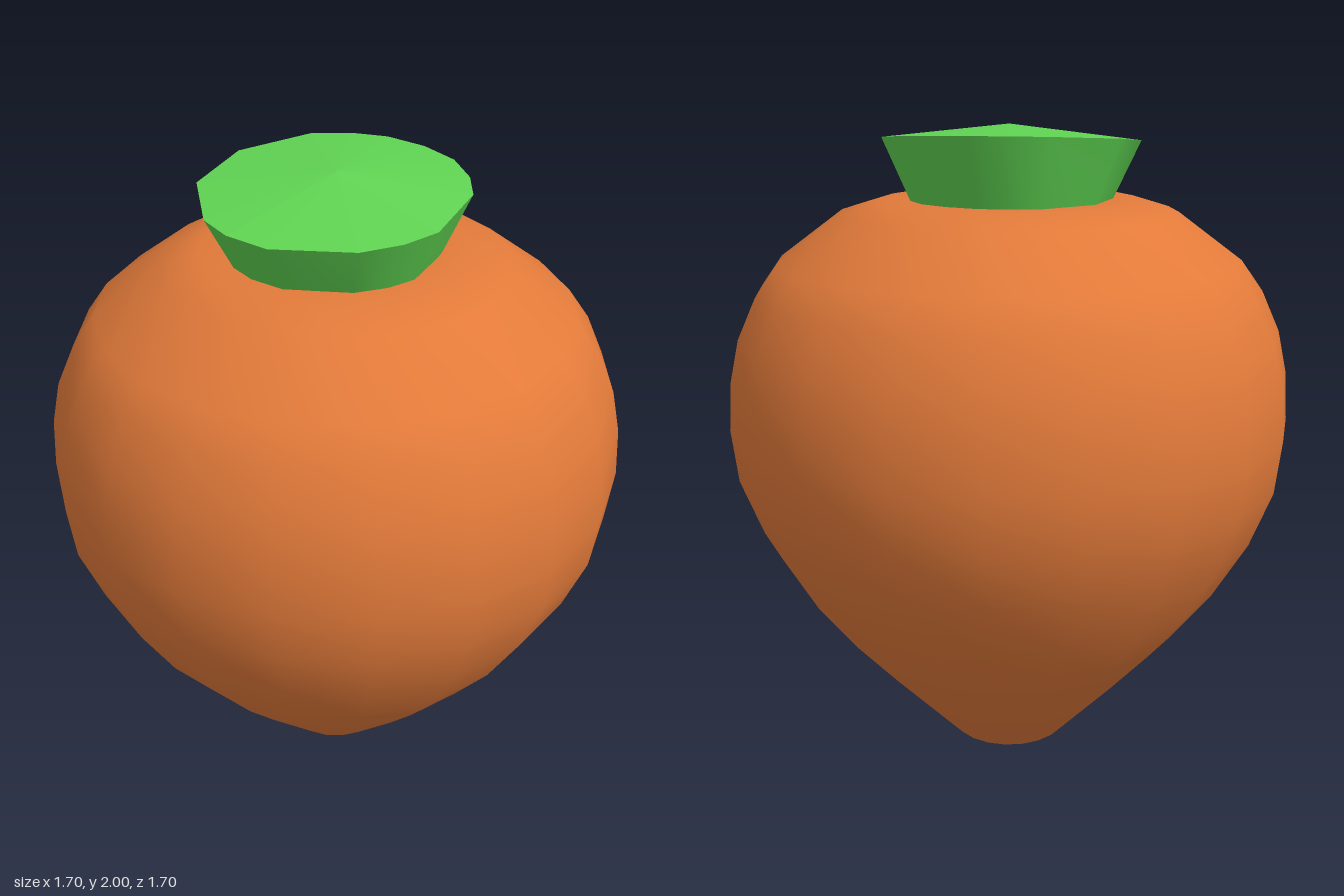
import * as THREE from 'three';

export function createModel() {
  const group = new THREE.Group();
  const rootOrange = new THREE.MeshStandardMaterial({ color: 0xe27a3a });
  const stemGreen = new THREE.MeshStandardMaterial({ color: 0x5fd352 });
  const add = (name, geometry, material) => {
    const mesh = new THREE.Mesh(geometry, material);
    mesh.name = name;
    group.add(mesh);
  };

  // Bulbous root, turned from a profile running from the tip to the crown
  const profile = [
    [0, 0.005], [0.18, 0.075], [0.41, 0.32], [0.54, 0.465], [0.66, 0.62], [0.765, 0.8],
    [0.83, 0.97], [0.848, 1.13], [0.838, 1.275], [0.81, 1.4], [0.755, 1.52], [0.69, 1.61],
    [0.5, 1.75], [0.385, 1.785], [0.25, 1.785], [0, 1.78],
  ].map(([r, y]) => new THREE.Vector2(r, y));
  add('root', new THREE.LatheGeometry(profile, 20), rootOrange);

  // Cut stem: an irregular outline flaring upward to a tilted rim
  const outline = [
    [-0.015, -0.365], [-0.14, -0.34], [-0.235, -0.285], [-0.32, -0.2], [-0.378, 0.03],
    [-0.295, 0.25], [-0.1, 0.38], [0.01, 0.395], [0.14, 0.37], [0.32, 0.22],
    [0.37, 0.11], [0.385, 0], [0.3, -0.225], [0.22, -0.3], [0.11, -0.355],
  ];
  const n = outline.length;
  const rim = outline.map(([x, z]) => [x, 1.957 - 0.04 * x - 0.065 * z, z]);
  const base = outline.map(([x, z]) => [x * 0.74, 1.74, z * 0.74]);

  // Stem wall, smooth around
  const wallIndex = [];
  for (let i = 0; i < n; i++) {
    const j = (i + 1) % n;
    wallIndex.push(n + i, n + j, i, n + j, j, i);
  }
  const wall = new THREE.BufferGeometry();
  wall.setAttribute('position', new THREE.Float32BufferAttribute([...rim, ...base].flat(), 3));
  wall.setIndex(wallIndex);
  wall.computeVertexNormals();
  add('stemWall', wall, stemGreen);

  // Stem cut face, a shallow faceted fan rising to its centre
  const fan = [];
  for (let i = 0; i < n; i++) fan.push(0, 2, 0, ...rim[i], ...rim[(i + 1) % n]);
  const top = new THREE.BufferGeometry();
  top.setAttribute('position', new THREE.Float32BufferAttribute(fan, 3));
  top.computeVertexNormals();
  add('stemTop', top, stemGreen);

  return group;
}
